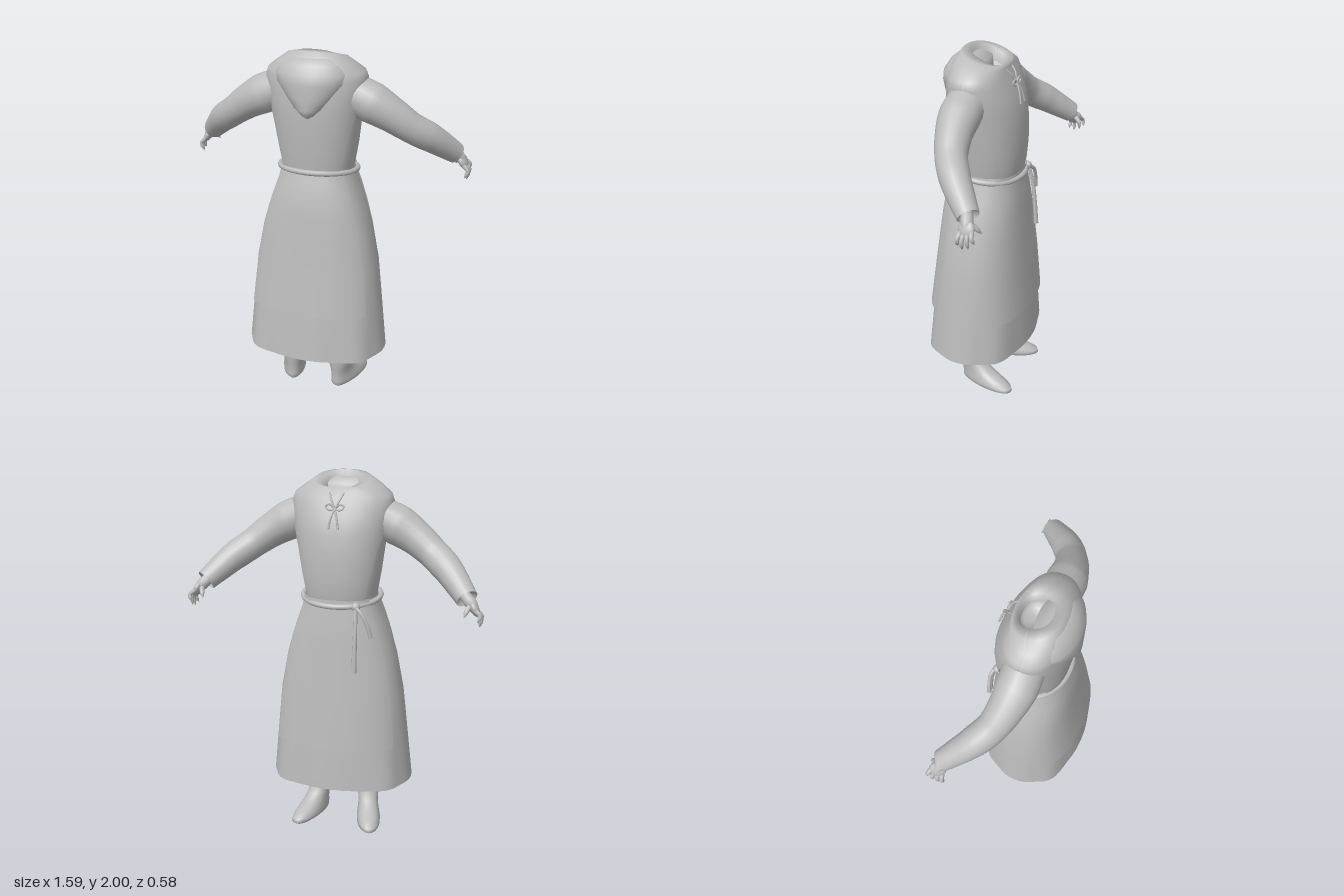
import * as THREE from 'three';
import { mergeGeometries, mergeVertices } from 'three/addons/utils/BufferGeometryUtils.js';

const RAD = Math.PI / 180;

// Skin through stacked rounded rings, from angle row.a to 180 - row.a (or all round when full).
// Row: y, rx, rz, cz, optional tilt, a (panel start angle), fold (ripple size).
function loft(rows, { full = true, side = 1, n = 48, p = 2.3, grow = 0, capTop = false, capBottom = false } = {}) {
  const pos = [], idx = [], w = n + 1;
  for (const { y, rx, rz, cz = 0, tilt = 0, a = 0, fold = 0 } of rows) {
    for (let j = 0; j <= n; j++) {
      const start = side > 0 ? a : 180 + a;
      const t = (full ? (j % n) * 360 / n : start + (180 - 2 * a) * j / n) * RAD;
      const c = Math.cos(t), s = Math.sin(t), k = 1 + fold * Math.cos(8 * t);
      const x = (rx + grow) * k * Math.sign(c) * Math.abs(c) ** (2 / p);
      const z = (rz + grow) * k * Math.sign(s) * Math.abs(s) ** (2 / p);
      pos.push(x, y + tilt * z, z + cz);
    }
  }
  for (let i = 0; i < rows.length - 1; i++) {
    for (let j = 0; j < n; j++) {
      const q = i * w + j;
      idx.push(q, q + w, q + 1, q + 1, q + w, q + w + 1);
    }
  }
  const cap = (i, flip) => {
    const m = pos.length / 3;
    pos.push(0, rows[i].y, rows[i].cz || 0);
    for (let j = 0; j < n; j++) flip ? idx.push(m, i * w + j, i * w + j + 1) : idx.push(m, i * w + j + 1, i * w + j);
  };
  if (capBottom) cap(0, true);
  if (capTop) cap(rows.length - 1, false);
  const g = new THREE.BufferGeometry();
  g.setAttribute('position', new THREE.Float32BufferAttribute(pos, 3));
  g.setIndex(idx);
  return weld(g);
}

function weld(g) {
  const m = mergeVertices(g, 1e-5);
  m.computeVertexNormals();
  return m;
}

// Tube whose radius follows a list of values spread along its length
function taperTube(points, radii, segs = 24, sides = 16) {
  const curve = new THREE.CatmullRomCurve3(points.map(q => new THREE.Vector3(...q)));
  const g = new THREE.TubeGeometry(curve, segs, 1, sides);
  const pos = g.attributes.position, v = new THREE.Vector3();
  for (let i = 0; i <= segs; i++) {
    const c = curve.getPointAt(i / segs), f = i / segs * (radii.length - 1);
    const k = Math.min(Math.floor(f), radii.length - 2);
    const r = THREE.MathUtils.lerp(radii[k], radii[k + 1], f - k);
    for (let j = 0; j <= sides; j++) {
      const q = i * (sides + 1) + j;
      v.fromBufferAttribute(pos, q).sub(c).multiplyScalar(r).add(c);
      pos.setXYZ(q, v.x, v.y, v.z);
    }
  }
  g.deleteAttribute('uv');
  g.deleteAttribute('normal');
  return weld(g);
}

export function createModel() {
  const model = new THREE.Group();
  const grey = new THREE.MeshStandardMaterial({ color: 0xbcbcbc, side: THREE.DoubleSide });
  grey.name = 'plain grey';
  const add = (name, geometry, parent = model) => {
    const mesh = new THREE.Mesh(geometry, grey);
    mesh.name = name;
    parent.add(mesh);
    return mesh;
  };

  // Under-tunic: long skirt with a folded hem, and the bodice seen at the sides
  const skirt = [
    { y: 0.275, rx: 0.395, rz: 0.277, cz: 0.004, fold: 0.018 },
    { y: 0.55, rx: 0.368, rz: 0.258, cz: 0, fold: 0.006, a: 33 },
    { y: 0.8, rx: 0.342, rz: 0.236, cz: -0.004, a: 33 },
    { y: 1.0, rx: 0.304, rz: 0.216, cz: -0.006, a: 33 },
    { y: 1.12, rx: 0.27, rz: 0.206, cz: -0.007, a: 33 },
    { y: 1.22, rx: 0.236, rz: 0.194, cz: -0.01, a: 33 },
    { y: 1.3, rx: 0.206, rz: 0.176, cz: -0.015, a: 33 },
    { y: 1.35, rx: 0.195, rz: 0.168, cz: -0.02, a: 33 },
  ];
  add('skirt', loft(skirt, { p: 2.5, n: 64 }));

  // Overgarment, open down the sides and closed over the shoulders
  const torso = [
    { y: 1.33, rx: 0.203, rz: 0.176, cz: -0.018, a: 42 },
    { y: 1.38, rx: 0.212, rz: 0.185, cz: -0.02, a: 41 },
    { y: 1.48, rx: 0.229, rz: 0.194, cz: -0.018, a: 38 },
    { y: 1.6, rx: 0.244, rz: 0.196, cz: -0.012, a: 32 },
    { y: 1.7, rx: 0.258, rz: 0.193, cz: -0.004, a: 22 },
    { y: 1.78, rx: 0.268, rz: 0.181, cz: 0.004, a: 10 },
    { y: 1.85, rx: 0.274, rz: 0.162, cz: 0.014 },
    { y: 1.89, rx: 0.26, rz: 0.152, cz: 0.018 },
    { y: 1.93, rx: 0.208, rz: 0.14, cz: 0.018, tilt: 0.1 },
    { y: 1.965, rx: 0.15, rz: 0.12, cz: 0, tilt: 0.25 },
    { y: 1.962, rx: 0.095, rz: 0.09, cz: -0.012, tilt: 0.42 },
    { y: 1.9, rx: 0.08, rz: 0.075, cz: -0.012, tilt: 0.3 },
  ];
  add('bodice', loft(torso.slice(0, 6), { grow: -0.014 }));
  add('tabard', weld(mergeGeometries([1, -1].map(side => loft(torso, { full: false, side })))));
  add('neckLining', loft([{ y: 1.86, rx: 0.06, rz: 0.06, cz: -0.012 }, { ...torso[11] }], { capBottom: true }));
  for (const [name, side, hem] of [['tabardFront', -1, 0.52], ['tabardBack', 1, 0.55]]) {
    const rows = skirt.slice(1).map((r, i) => (i ? r : { ...r, y: hem, fold: 0, rx: 0.37, rz: 0.264 }));
    add(name, loft(rows, { full: false, side, p: 2.5, grow: 0.012 }));
  }

  // Hood lying on the back, drawn to a soft point
  add('hood', loft([
    { y: 1.655, rx: 0.012, rz: 0.075, cz: 0.105 },
    { y: 1.675, rx: 0.05, rz: 0.105, cz: 0.105 },
    { y: 1.71, rx: 0.095, rz: 0.117, cz: 0.105 },
    { y: 1.77, rx: 0.145, rz: 0.118, cz: 0.104 },
    { y: 1.84, rx: 0.19, rz: 0.118, cz: 0.102 },
    { y: 1.89, rx: 0.195, rz: 0.112, cz: 0.1 },
    { y: 1.935, rx: 0.165, rz: 0.095, cz: 0.088 },
    { y: 1.965, rx: 0.12, rz: 0.045, cz: 0.1 },
  ], { p: 2, capTop: true, capBottom: true }));

  // Rope belt, knot and hanging ends
  const beltPath = [];
  for (let i = 0; i < 32; i++) {
    const t = i * Math.PI / 16, z = 0.19 * Math.sin(t) - 0.018;
    beltPath.push(new THREE.Vector3(0.213 * Math.cos(t), 1.34 + 0.11 * z, z));
  }
  add('belt', new THREE.TubeGeometry(new THREE.CatmullRomCurve3(beltPath, true), 96, 0.015, 8, true));
  add('beltKnot', new THREE.SphereGeometry(0.024, 12, 8)).position.set(-0.12, 1.32, -0.188);
  add('longBeltEnd', taperTube([[-0.12, 1.32, -0.195], [-0.125, 1.2, -0.222], [-0.125, 1.08, -0.236], [-0.125, 0.97, -0.245]],
    [0.011, 0.011, 0.013, 0.014], 16, 8));
  add('shortBeltEnd', taperTube([[-0.12, 1.32, -0.2], [-0.155, 1.29, -0.212], [-0.19, 1.22, -0.21], [-0.205, 1.16, -0.205]],
    [0.01, 0.01, 0.012], 16, 8));

  // Neck slit lace tied in a bow
  for (const s of [-1, 1]) {
    add('bowLoop', taperTube([[0, 1.83, -0.163], [s * 0.03, 1.855, -0.168], [s * 0.048, 1.842, -0.165], [s * 0.03, 1.825, -0.172], [0, 1.83, -0.167]],
      [0.005, 0.005], 16, 6));
    add('bowEnd', taperTube([[0, 1.83, -0.168], [s * 0.015, 1.79, -0.188], [s * 0.026, 1.73, -0.202]], [0.005, 0.006], 10, 6));
    add('neckLace', taperTube([[0, 1.83, -0.163], [s * 0.025, 1.88, -0.148], [s * 0.045, 1.925, -0.1]], [0.005, 0.005], 10, 6));
  }

  // Limbs, built on the left and mirrored
  for (const s of [1, -1]) {
    const limbs = new THREE.Group();
    limbs.name = s > 0 ? 'leftLimbs' : 'rightLimbs';
    limbs.scale.x = s;
    model.add(limbs);

    add('sleeve', taperTube([[0.2, 1.77, 0.015], [0.3, 1.725, 0.015], [0.4, 1.667, 0.0], [0.5, 1.595, -0.035], [0.59, 1.53, -0.1], [0.655, 1.47, -0.165], [0.708, 1.418, -0.222]],
      [0.105, 0.108, 0.093, 0.082, 0.08, 0.07, 0.058], 36, 20), limbs);
    add('cuffLining', taperTube([[0.69, 1.436, -0.203], [0.7, 1.426, -0.213], [0.708, 1.418, -0.222]], [0.02, 0.045, 0.056], 4, 20), limbs);

    // Hand with curled fingers and thumb
    const hand = new THREE.Group();
    hand.name = 'hand';
    limbs.add(hand);
    add('wrist', taperTube([[0.67, 1.455, -0.185], [0.705, 1.42, -0.213], [0.735, 1.39, -0.228], [0.757, 1.36, -0.233]],
      [0.028, 0.03, 0.033, 0.022], 10, 12), hand);
    const palm = add('palm', new THREE.SphereGeometry(1, 16, 12), hand);
    palm.scale.set(0.022, 0.046, 0.044);
    palm.position.set(0.75, 1.373, -0.232);
    palm.rotation.set(0.35, 0, 0.5);
    const tips = [[0.768, 1.285, -0.195], [0.777, 1.272, -0.222], [0.78, 1.283, -0.255], [0.772, 1.312, -0.284]];
    tips.forEach(([x, y, z], i) => {
      const knuckle = [0.757, 1.355 + i * 0.005, -0.203 - i * 0.02];
      const middle = [0.784, (knuckle[1] + y) / 2 + 0.004, (knuckle[2] + z) / 2];
      add('finger', taperTube([knuckle, middle, [x, y, z]], [0.012, 0.0125, 0.011, 0.01, 0.001], 12, 8), hand);
    });
    add('thumb', taperTube([[0.728, 1.39, -0.235], [0.715, 1.365, -0.268], [0.703, 1.335, -0.29]],
      [0.017, 0.014, 0.012, 0.001], 12, 8), hand);

    // Lower leg and soft shoe, toes turned out
    const leg = add('legAndShoe', loft([
      { y: 0.002, rx: 0.05, rz: 0.155, cz: -0.08 },
      { y: 0.015, rx: 0.066, rz: 0.172, cz: -0.083 },
      { y: 0.035, rx: 0.067, rz: 0.17, cz: -0.08 },
      { y: 0.06, rx: 0.062, rz: 0.145, cz: -0.055 },
      { y: 0.085, rx: 0.057, rz: 0.112, cz: -0.02 },
      { y: 0.12, rx: 0.057, rz: 0.081, cz: 0.015 },
      { y: 0.16, rx: 0.066, rz: 0.071, cz: 0.032 },
      { y: 0.19, rx: 0.067, rz: 0.07, cz: 0.034 },
      { y: 0.215, rx: 0.063, rz: 0.068, cz: 0.034 },
      { y: 0.25, rx: 0.072, rz: 0.076, cz: 0.03 },
      { y: 0.45, rx: 0.075, rz: 0.08, cz: 0.02 },
    ], { p: 2.1, n: 32, capBottom: true, capTop: true }), limbs);
    leg.position.set(0.152, 0, 0);
    leg.rotation.y = -0.26;
  }
  return model;
}
